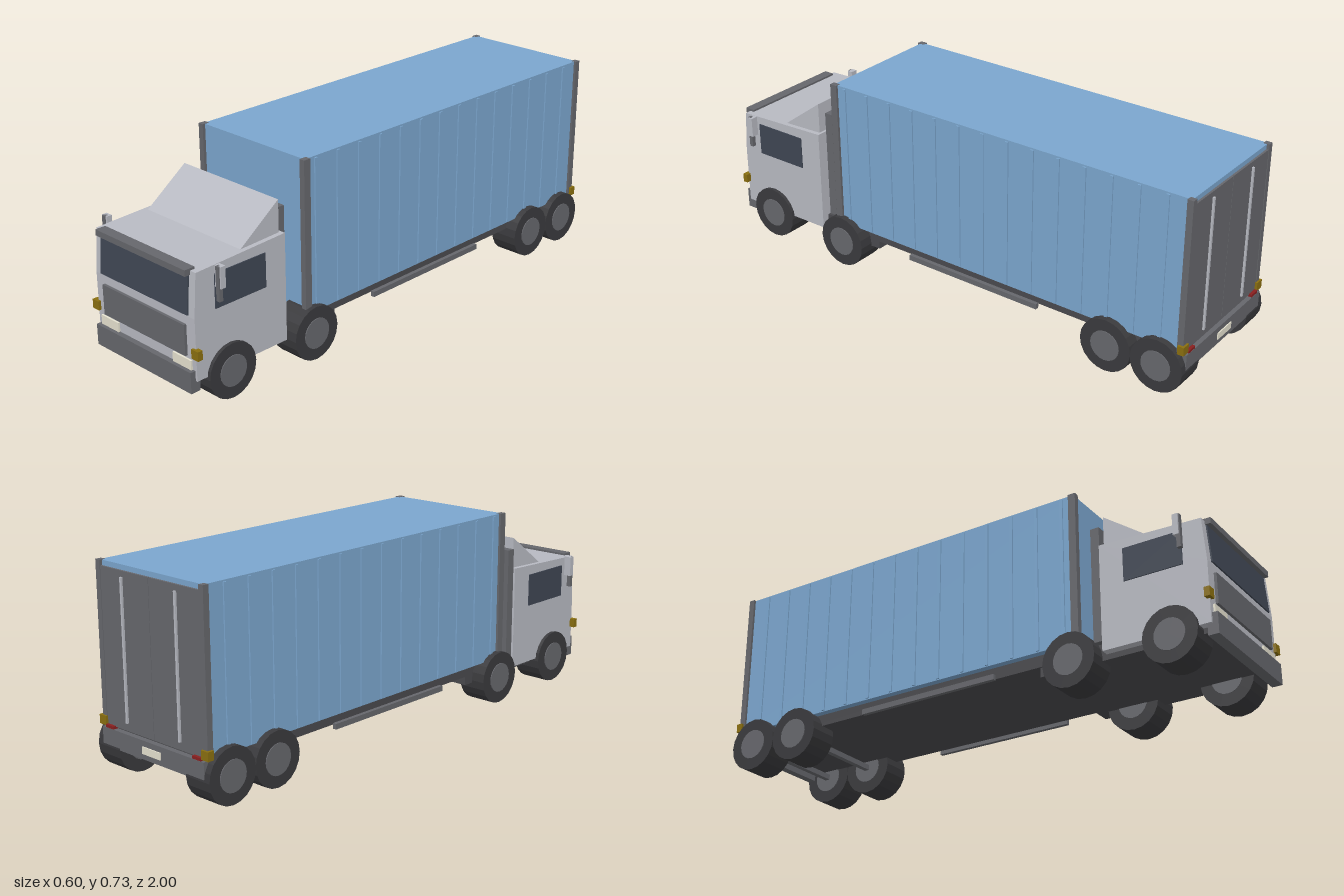
import * as THREE from 'three';

const mat = (color) => new THREE.MeshStandardMaterial({ color, flatShading: true });

export function createModel() {
  const truck = new THREE.Group();
  truck.name = 'boxTruck';
  const paint = mat(0xb8bac2), dark = mat(0x66676c), blue = mat(0x7ba6ce), glass = mat(0x3f4653);
  const rubber = mat(0x3a3a3d), amber = mat(0x8a6f10), cream = mat(0xe6e2d0), red = mat(0x8a2020);
  const under = mat(0x4a4a4e);

  const add = (name, geometry, material) => {
    const mesh = new THREE.Mesh(geometry, material);
    mesh.name = name;
    truck.add(mesh);
    return mesh;
  };
  // Box given by its extents along each axis
  const box = (name, material, x0, x1, y0, y1, z0, z1) => {
    const mesh = add(name, new THREE.BoxGeometry(x1 - x0, y1 - y0, z1 - z0), material);
    mesh.position.set((x0 + x1) / 2, (y0 + y1) / 2, (z0 + z1) / 2);
    return mesh;
  };
  // The same box on both sides of the truck
  const pair = (name, material, x0, x1, ...rest) => {
    box(name + 'Left', material, x0, x1, ...rest);
    box(name + 'Right', material, -x1, -x0, ...rest);
  };
  // Side profile of [z, y] points extruded across the width
  const profile = (name, material, points, halfWidth) => {
    const shape = new THREE.Shape(points.map(([z, y]) => new THREE.Vector2(-z, y)));
    const geometry = new THREE.ExtrudeGeometry(shape, { depth: 2 * halfWidth, bevelEnabled: false });
    geometry.translate(0, 0, -halfWidth).rotateY(Math.PI / 2);
    return add(name, geometry, material);
  };

  // Cab shell with a leaning windscreen and a gently rising roof
  profile('cab', paint, [[0.59, 0.11], [0.98, 0.11], [0.98, 0.33], [0.968, 0.486], [0.59, 0.5]], 0.25);
  profile('roofDeflector', paint, [[0.6, 0.497], [0.77, 0.491], [0.6, 0.615]], 0.232);
  profile('windscreen', glass, [[0.975, 0.335], [0.985, 0.335], [0.974, 0.475], [0.964, 0.475]], 0.22);
  box('sunVisor', dark, -0.225, 0.225, 0.472, 0.494, 0.95, 0.99);
  box('grille', dark, -0.208, 0.208, 0.19, 0.3, 0.975, 0.99);
  box('frontBumper', dark, -0.242, 0.242, 0.07, 0.146, 0.962, 1);
  pair('headlight', cream, 0.14, 0.23, 0.146, 0.18, 0.97, 0.987);
  pair('frontIndicator', amber, 0.238, 0.27, 0.193, 0.226, 0.97, 0.99);
  pair('sideWindow', glass, 0.245, 0.254, 0.338, 0.46, 0.68, 0.895);

  // Mirrors
  pair('mirrorHousing', paint, 0.27, 0.298, 0.425, 0.5, 0.888, 0.908);
  pair('mirrorBracket', dark, 0.278, 0.293, 0.38, 0.5, 0.897, 0.912);

  // Air panel behind the cab
  box('rearCabPanel', dark, -0.243, 0.21, 0.15, 0.575, 0.555, 0.588);

  // Chassis and underbody
  box('tractorChassis', under, -0.22, 0.22, 0.09, 0.155, 0.335, 0.965);
  box('trailerChassis', under, -0.225, 0.225, 0.125, 0.172, -0.975, 0.365);
  pair('sideGuard', dark, 0.234, 0.249, 0.115, 0.135, -0.4, 0.165);

  // Cargo box with side ribs
  box('cargoBox', blue, -0.25, 0.25, 0.168, 0.728, -0.975, 0.497);
  for (let i = 0; i < 14; i++) {
    const z = 0.448 - i * 0.103;
    pair('cargoRib' + (i + 1), blue, 0.248, 0.255, 0.172, 0.722, z - 0.006, z + 0.006);
  }
  pair('frontCornerPost', dark, 0.238, 0.259, 0.168, 0.729, 0.48, 0.508);
  pair('rearCornerPost', dark, 0.238, 0.259, 0.168, 0.729, -0.985, -0.962);

  // Rear doors with locking rods
  pair('rearDoor', dark, 0.001, 0.24, 0.172, 0.71, -0.983, -0.97);
  pair('lockRod', paint, 0.126, 0.134, 0.2, 0.69, -0.99, -0.981);

  // Rear bumper and lamps
  box('rearBumper', dark, -0.25, 0.25, 0.1, 0.165, -0.995, -0.965);
  box('rearPlate', cream, -0.045, 0.045, 0.12, 0.145, -0.999, -0.99);
  pair('tailLight', red, 0.195, 0.235, 0.145, 0.175, -0.994, -0.975);
  pair('rearIndicator', amber, 0.235, 0.268, 0.17, 0.202, -0.992, -0.968);

  // Wheels: tyre with an inset hub on each side
  const wheel = (name, side, z, outer) => {
    const group = new THREE.Group();
    group.name = name;
    const tyre = new THREE.Mesh(
      new THREE.CylinderGeometry(0.099, 0.099, 0.11, 20).rotateZ(Math.PI / 2), rubber);
    tyre.name = 'tyre';
    const hub = new THREE.Mesh(
      new THREE.CylinderGeometry(0.056, 0.056, 0.116, 20).rotateZ(Math.PI / 2), dark);
    hub.name = 'hub';
    group.add(tyre, hub);
    group.position.set(side * (outer - 0.058), 0.1, z);
    truck.add(group);
  };
  const axles = [['front', 0.84, 0.266], ['drive', 0.475, 0.278], ['trailerFront', -0.7, 0.278], ['trailerRear', -0.897, 0.278]];
  for (const [name, z, outer] of axles) {
    wheel(name + 'WheelLeft', 1, z, outer);
    wheel(name + 'WheelRight', -1, z, outer);
    const axle = box(name + 'Axle', dark, -0.2, 0.2, 0.09, 0.11, z - 0.01, z + 0.01);
    axle.name = name + 'Axle';
  }
  return truck;
}
